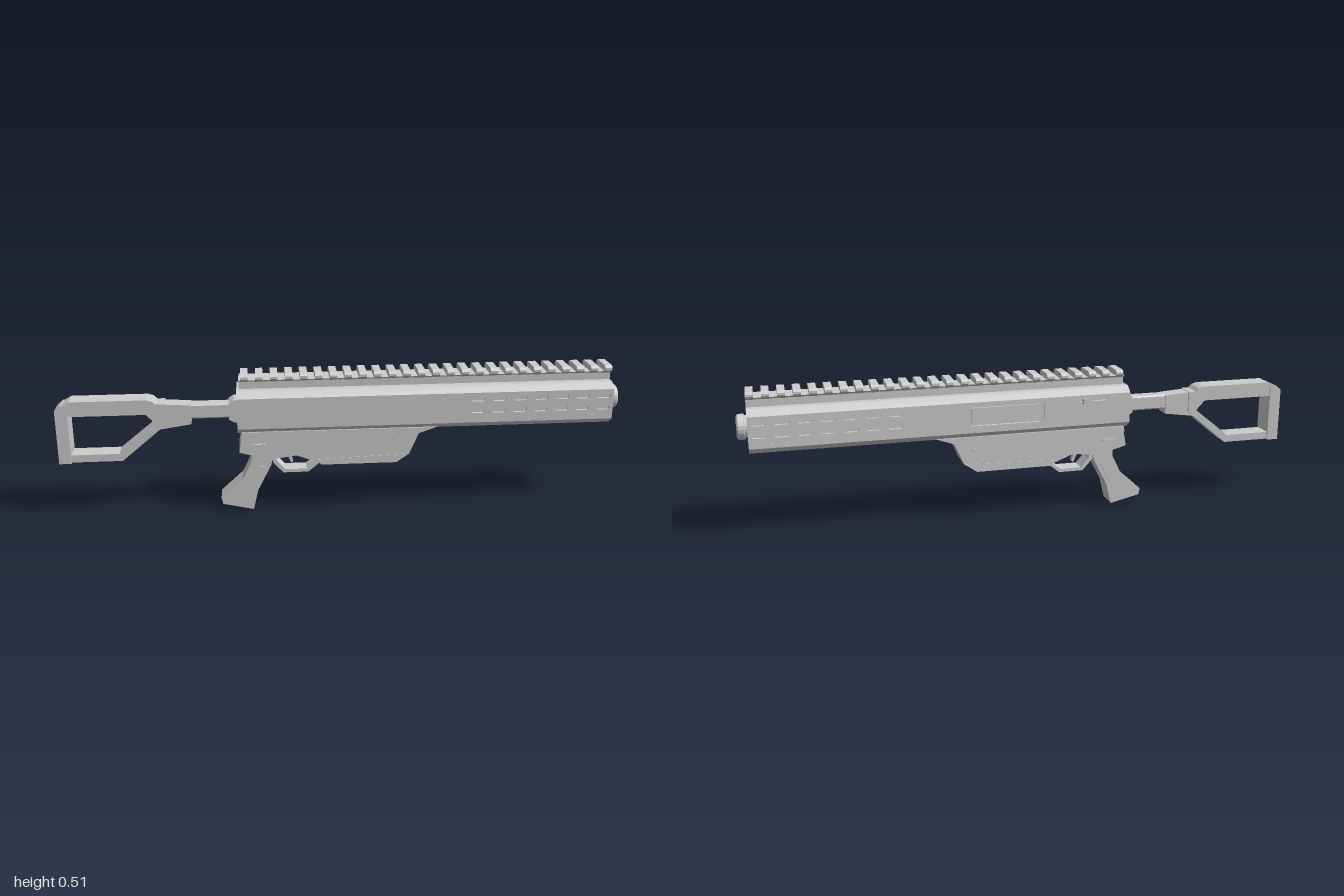
import * as THREE from 'three';

export function createModel() {
  const root = new THREE.Group();
  const gun = new THREE.Group();
  gun.name = 'carbine';
  gun.position.z = 0.015;
  root.add(gun);
  const grey = new THREE.MeshStandardMaterial({ color: 0xcccccc });
  grey.name = 'lightGrey';

  const add = (name, geo) => {
    const m = new THREE.Mesh(geo, grey);
    m.name = name;
    gun.add(m);
  };
  const poly = (pts, C = THREE.Shape) => new C(pts.map(p => new THREE.Vector2(p[0], p[1])));
  const extrude = (shape, depth) =>
    new THREE.ExtrudeGeometry(shape, { depth, bevelEnabled: false, curveSegments: 6 });
  // side outline (x, y) given thickness across z, centred
  const slab = (name, pts, half, holes = []) => {
    const s = poly(pts);
    s.holes.push(...holes);
    add(name, extrude(s, half * 2).translate(0, 0, -half));
  };
  // half cross-section (z, y) mirrored and run along x
  const run = (name, half, x0, x1) => {
    const pts = [...half, ...half.slice().reverse().map(([z, y]) => [-z, y])];
    add(name, extrude(poly(pts), x1 - x0).rotateY(Math.PI / 2).translate(x0, 0, 0));
  };
  const box = (name, x0, x1, y0, y1, z0, z1) => add(name,
    new THREE.BoxGeometry(x1 - x0, y1 - y0, z1 - z0)
      .translate((x0 + x1) / 2, (y0 + y1) / 2, (z0 + z1) / 2));
  const pin = (name, x, y, z, r, len) => add(name,
    new THREE.CylinderGeometry(r, r, len, 12).rotateX(Math.PI / 2).translate(x, y, z));
  const slotHole = (x, y, half, r) => {
    const p = new THREE.Path();
    p.moveTo(x - half, y - r);
    p.lineTo(x + half, y - r);
    p.absarc(x + half, y, r, -Math.PI / 2, Math.PI / 2, false);
    p.lineTo(x - half, y + r);
    p.absarc(x - half, y, r, Math.PI / 2, Math.PI * 1.5, false);
    return p;
  };

  // Chamfered body core with pierced side plates
  const X0 = -0.373, X1 = 0.964;
  run('body', [[0.058, 0.303], [0.086, 0.325], [0.076, 0.325], [0.076, 0.435],
    [0.086, 0.435], [0.058, 0.455]], X0, X1);
  for (const side of [1, -1]) {
    const plate = poly([[X0, 0.325], [X1, 0.325], [X1, 0.435], [X0, 0.435]]);
    for (let i = 0; i < 7; i++) {
      for (const y of [0.412, 0.369]) plate.holes.push(slotHole(0.475 + i * 0.0755, y, 0.016, 0.009));
    }
    if (side < 0) {
      plate.holes.push(poly([[-0.04, 0.35], [0.215, 0.35], [0.227, 0.362], [0.227, 0.415],
        [0.215, 0.427], [-0.04, 0.427], [-0.052, 0.415], [-0.052, 0.362]], THREE.Path));
      plate.holes.push(slotHole(-0.235, 0.416, 0.05, 0.004));
    }
    add('sidePlate', extrude(plate, 0.01).translate(0, 0, side > 0 ? 0.076 : -0.086));
    // fasteners on both sides
    pin('bodyBolt', 0.35, 0.407, side * 0.087, 0.008, 0.008);
    pin('bodyBolt', 0.89, 0.335, side * 0.087, 0.008, 0.008);
    pin('receiverPin', -0.285, 0.255, side * 0.065, 0.008, 0.012);
    pin('receiverPin', 0.2, 0.255, side * 0.065, 0.008, 0.01);
    box('selectorLever', -0.325, -0.285, 0.252, 0.26, side * 0.066 - 0.004, side * 0.066 + 0.004);
  }
  // Ejection port cover and charging handle on the far side
  box('portCover', -0.037, 0.212, 0.363, 0.414, -0.083, -0.075);
  pin('chargingHandle', -0.2, 0.416, -0.096, 0.009, 0.044);
  pin('handleKnob', -0.2, 0.416, -0.113, 0.014, 0.012);

  // Top rail with evenly spaced teeth
  run('railBase', [[0.03, 0.453], [0.03, 0.481], [0.043, 0.489]], -0.365, X1);
  const TEETH = 26, W = 0.026, pitch = (X1 + 0.358 - W) / (TEETH - 1);
  for (let i = 0; i < TEETH; i++) {
    const x = -0.358 + i * pitch;
    run('railTooth', [[0.03, 0.48], [0.05, 0.494], [0.05, 0.502], [0.04, 0.51]], x, x + W);
  }

  // Hollow muzzle
  const profile = [[0.038, -0.01], [0.038, 0.006], [0.044, 0.008], [0.044, 0.028], [0.037, 0.034],
    [0.028, 0.034], [0.028, 0.018], [0.024, 0.018], [0.024, 0.004], [0, 0.004]];
  const muzzle = new THREE.LatheGeometry(profile.map(p => new THREE.Vector2(...p)), 20)
    .toNonIndexed();
  muzzle.computeVertexNormals();
  add('muzzle', muzzle.rotateZ(-Math.PI / 2).translate(0.966, 0.382, 0));

  // Lower receiver, with a lip under the body
  slab('lowerReceiver', [[-0.355, 0.31], [-0.37, 0.23], [-0.26, 0.2], [-0.168, 0.213],
    [-0.083, 0.18], [0.19, 0.18], [0.237, 0.208], [0.27, 0.283], [0.333, 0.305]], 0.063);
  slab('receiverLip', [[-0.358, 0.306], [-0.362, 0.285], [0.272, 0.285], [0.333, 0.306]], 0.067);
  slab('magazineWell', [[-0.08, 0.175], [0.19, 0.175], [0.237, 0.207], [-0.1, 0.195]], 0.065);

  // Trigger guard and trigger
  slab('triggerGuard', [[-0.262, 0.205], [-0.25, 0.175], [-0.215, 0.136], [-0.125, 0.136],
    [-0.08, 0.172], [-0.085, 0.205]], 0.03, [
    poly([[-0.243, 0.199], [-0.236, 0.18], [-0.208, 0.148], [-0.13, 0.148],
      [-0.095, 0.175], [-0.1, 0.199]], THREE.Path)]);
  slab('trigger', [[-0.2, 0.215], [-0.178, 0.215], [-0.184, 0.19], [-0.178, 0.168],
    [-0.186, 0.165], [-0.195, 0.188]], 0.01);

  // Pistol grip with side panels
  slab('grip', [[-0.325, 0.222], [-0.328, 0.185], [-0.36, 0.12], [-0.44, 0.048], [-0.435, 0.025],
    [-0.325, 0], [-0.307, 0.075], [-0.258, 0.17], [-0.25, 0.21]], 0.04);
  slab('gripPanel', [[-0.315, 0.165], [-0.345, 0.115], [-0.412, 0.048], [-0.335, 0.03],
    [-0.32, 0.08], [-0.277, 0.165]], 0.042);

  // Collar and stock tube
  slab('stockCollar', [[-0.402, 0.345], [-0.385, 0.335], [-0.37, 0.335], [-0.37, 0.415],
    [-0.385, 0.415], [-0.402, 0.404]], 0.036);
  run('stockTube', [[0.02, 0.348], [0.025, 0.353], [0.025, 0.396], [0.02, 0.401]], -0.56, -0.39);

  // Open-frame stock with cheek rest, neck and butt pad
  slab('stockFrame', [[-0.995, 0.203], [-0.78, 0.203], [-0.645, 0.315], [-0.625, 0.335],
    [-0.625, 0.408], [-0.975, 0.412], [-0.995, 0.395]], 0.036, [
    poly([[-0.957, 0.23], [-0.79, 0.23], [-0.657, 0.337], [-0.69, 0.372], [-0.957, 0.372]],
      THREE.Path)]);
  slab('stockNeck', [[-0.66, 0.312], [-0.535, 0.33], [-0.535, 0.4], [-0.66, 0.408]], 0.03);
  slab('cheekRest', [[-0.975, 0.405], [-0.65, 0.405], [-0.665, 0.42], [-0.685, 0.426],
    [-0.95, 0.426], [-0.975, 0.412]], 0.038);
  slab('buttPad', [[-1, 0.2], [-0.957, 0.2], [-0.957, 0.414], [-0.98, 0.412], [-1, 0.396]], 0.041);

  return root;
}
